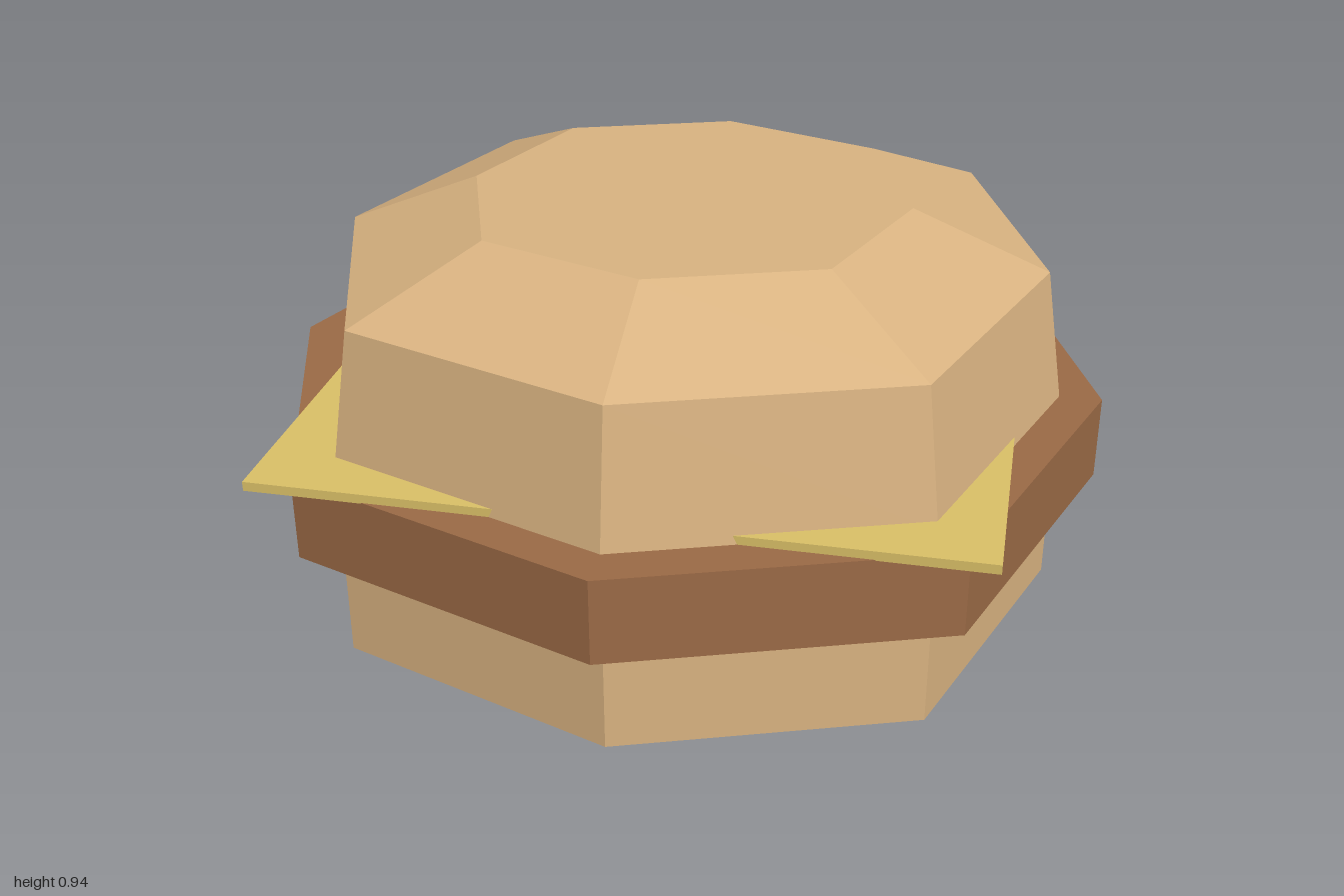
import * as THREE from 'three';

const material = (name, color) => {
  const m = new THREE.MeshStandardMaterial({ color });
  m.name = name;
  return m;
};

// Eight-sided solid from a [radius, y] outline running from bottom to top;
// the diagonal corners reach slightly further out than those on the axes.
function octagonSolid(outline) {
  const points = outline.map(([r, y]) => new THREE.Vector2(r, y));
  const lathe = new THREE.LatheGeometry(points, 8);
  const pos = lathe.attributes.position;
  for (let i = 0; i < pos.count; i++) {
    const x = pos.getX(i), z = pos.getZ(i);
    const diagonal = Math.min(Math.abs(x), Math.abs(z)) > 0.01;
    const s = diagonal ? 1.0465 : 1;
    pos.setXYZ(i, x * s, pos.getY(i), z * s);
  }
  const geometry = lathe.toNonIndexed(); // hard facets
  geometry.computeVertexNormals();
  return geometry;
}

export function createModel() {
  const burger = new THREE.Group();
  burger.name = 'burger';

  const bun = material('bun tan', 0xd9b381);
  const meat = material('meat brown', 0x9b6a46);
  const cheese = material('cheese yellow', 0xdac067);
  for (const m of [bun, meat, cheese]) m.flatShading = true;

  const add = (name, geometry, mat) => {
    const mesh = new THREE.Mesh(geometry, mat);
    mesh.name = name;
    burger.add(mesh);
    return mesh;
  };

  // Bottom bun and patty
  add('bottomBun', octagonSolid([[0, 0], [0.9, 0], [0.9, 0.287], [0, 0.287]]), bun);
  add('patty', octagonSolid([[0, 0.287], [1, 0.287], [1, 0.49], [0, 0.49]]), meat);

  // Square cheese slice, its corners showing past the bun
  add('cheeseSlice', new THREE.BoxGeometry(1.625, 0.022, 1.625), cheese)
    .position.set(-0.008, 0.499, -0.006);

  // Top bun: leaning wall, sloped crown, flat top
  add('topBun', octagonSolid([[0, 0.49], [0.9, 0.49], [0.85, 0.807], [0.527, 0.94], [0, 0.94]]), bun);

  return burger;
}
